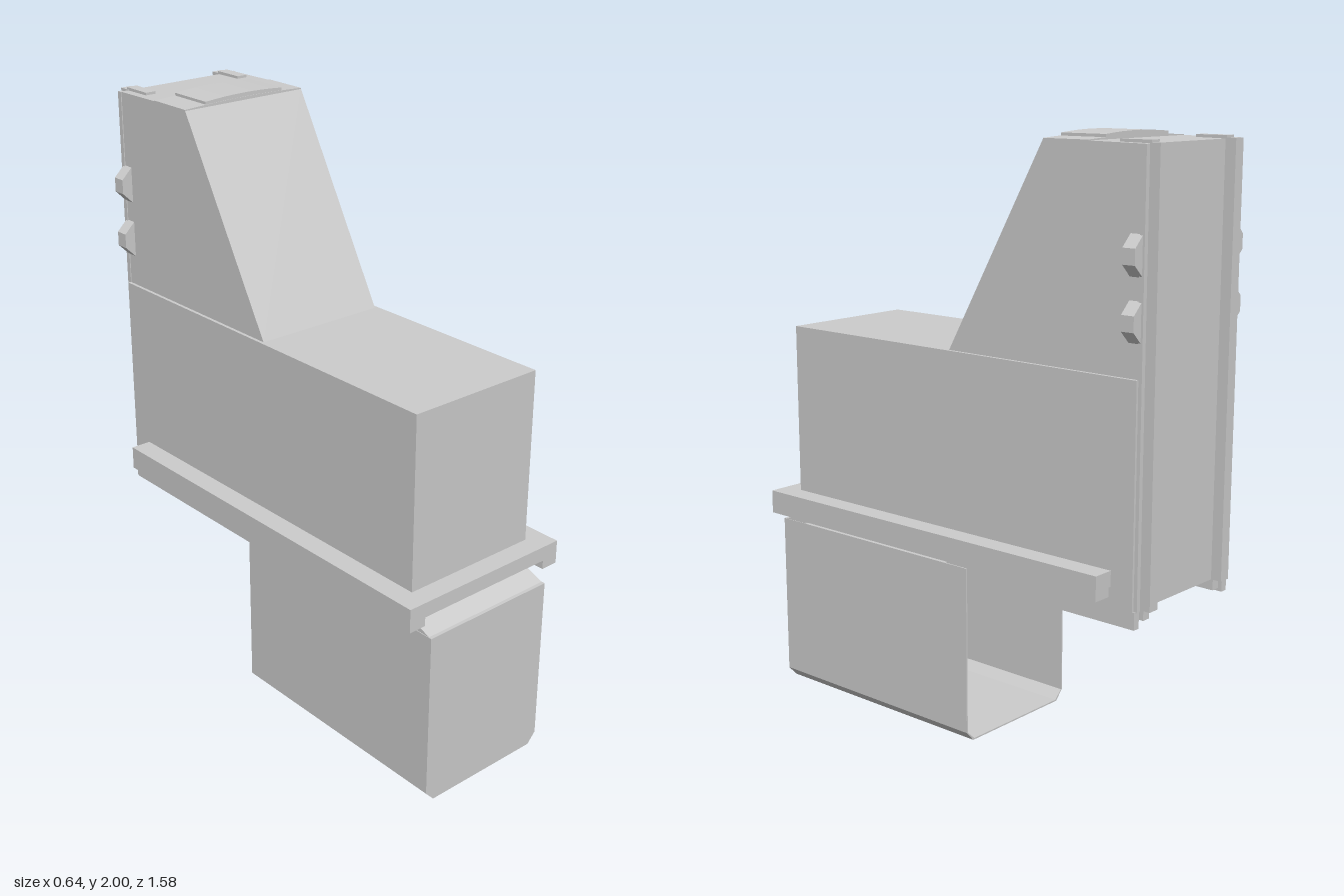
import * as THREE from 'three';

const mat = new THREE.MeshStandardMaterial({ color: 0xcccccc, flatShading: true, side: THREE.DoubleSide });

export function createModel() {
  const group = new THREE.Group();

  function add(name, geo) {
    const mesh = new THREE.Mesh(geo, mat);
    mesh.name = name;
    group.add(mesh);
    return mesh;
  }
  // Box given by its limits on each axis
  function box(name, x0, x1, y0, y1, z0, z1) {
    const geo = new THREE.BoxGeometry(Math.abs(x1 - x0), y1 - y0, z1 - z0);
    return add(name, geo.translate((x0 + x1) / 2, (y0 + y1) / 2, (z0 + z1) / 2));
  }
  const shapeOf = (pts) => new THREE.Shape(pts.map(([x, y]) => new THREE.Vector2(x, y)));
  // Front outline (x, y) swept from z0 to z1
  function sweepZ(shape, z0, z1) {
    return new THREE.ExtrudeGeometry(shape, { depth: z1 - z0, bevelEnabled: false, curveSegments: 8 }).translate(0, 0, z0);
  }
  // Side outline (z, y) swept across the width
  function sweepX(pts, half) {
    const geo = new THREE.ExtrudeGeometry(shapeOf(pts), { depth: half * 2, bevelEnabled: false });
    return geo.rotateY(-Math.PI / 2).translate(half, 0, 0);
  }
  // Block with a gently arched top
  function arched(half, yBase, yEdge, yMid) {
    const s = new THREE.Shape();
    s.moveTo(-half, yBase);
    s.lineTo(half, yBase);
    s.lineTo(half, yEdge);
    s.quadraticCurveTo(0, 2 * yMid - yEdge, -half, yEdge);
    s.closePath();
    return s;
  }

  // Main housing and tapered head
  box('housing', -0.248, 0.248, 0.61, 1.31, -0.75, 0.7);
  add('head', sweepX([[-0.01, 1.31], [-0.39, 1.98], [-0.75, 1.975], [-0.75, 1.31]], 0.237));
  add('headTop', sweepZ(arched(0.237, 1.97, 1.98, 1.987), -0.555, -0.388));
  add('topCap', sweepZ(arched(0.155, 1.97, 1.993, 2.0), -0.555, -0.39));

  // Hollow lower shell, open at the back, with chamfered bottom edges
  const outline = (w, bottom) => [
    [-w, 0.605], [-w, 0.035], [-w + 0.032, bottom], [w - 0.032, bottom], [w, 0.035], [w, 0.605],
  ];
  const ring = shapeOf(outline(0.25, 0));
  ring.holes.push(new THREE.Path(outline(0.245, 0.005).map(([x, y]) => new THREE.Vector2(x, Math.min(y, 0.6)))));
  add('lowerShell', sweepZ(ring, -0.09, 0.78));
  add('lowerShellFront', sweepZ(shapeOf(outline(0.25, 0)), 0.78, 0.79));
  add('lowerShoulder', sweepX([[0.79, 0.6], [0.7, 0.637], [0.68, 0.637], [0.68, 0.6]], 0.248));

  // Collar around the front and both sides
  box('collarFront', -0.32, 0.32, 0.675, 0.725, 0.69, 0.77);
  for (const s of [-1, 1]) {
    box('collarSide', s * 0.24, s * 0.32, 0.675, 0.725, -0.67, 0.77);
    box('collarLip', s * 0.258, s * 0.32, 0.645, 0.676, -0.67, 0.77);

    // Rails along the back and underside
    box('backRail', s * 0.17, s * 0.21, 0.61, 1.978, -0.787, -0.745);
    box('backFlange', s * 0.225, s * 0.24, 0.61, 1.975, -0.762, -0.745);
    box('topClip', s * 0.17, s * 0.208, 1.965, 1.985, -0.755, -0.645);
    box('bottomRailOuter', s * 0.222, s * 0.246, 0.557, 0.612, -0.757, 0);
    box('bottomRailInner', s * 0.17, s * 0.2, 0.575, 0.612, -0.757, 0);

    // Trapezoid catches on the sides of the head
    for (const y of [1.475, 1.665]) {
      const pts = [[0.23, -0.068], [0.275, -0.024], [0.275, 0.024], [0.23, 0.068]];
      add('sideCatch', sweepZ(shapeOf(pts.map(([x, d]) => [s * x, y + d])), -0.755, -0.71));
    }
  }
  return group;
}
